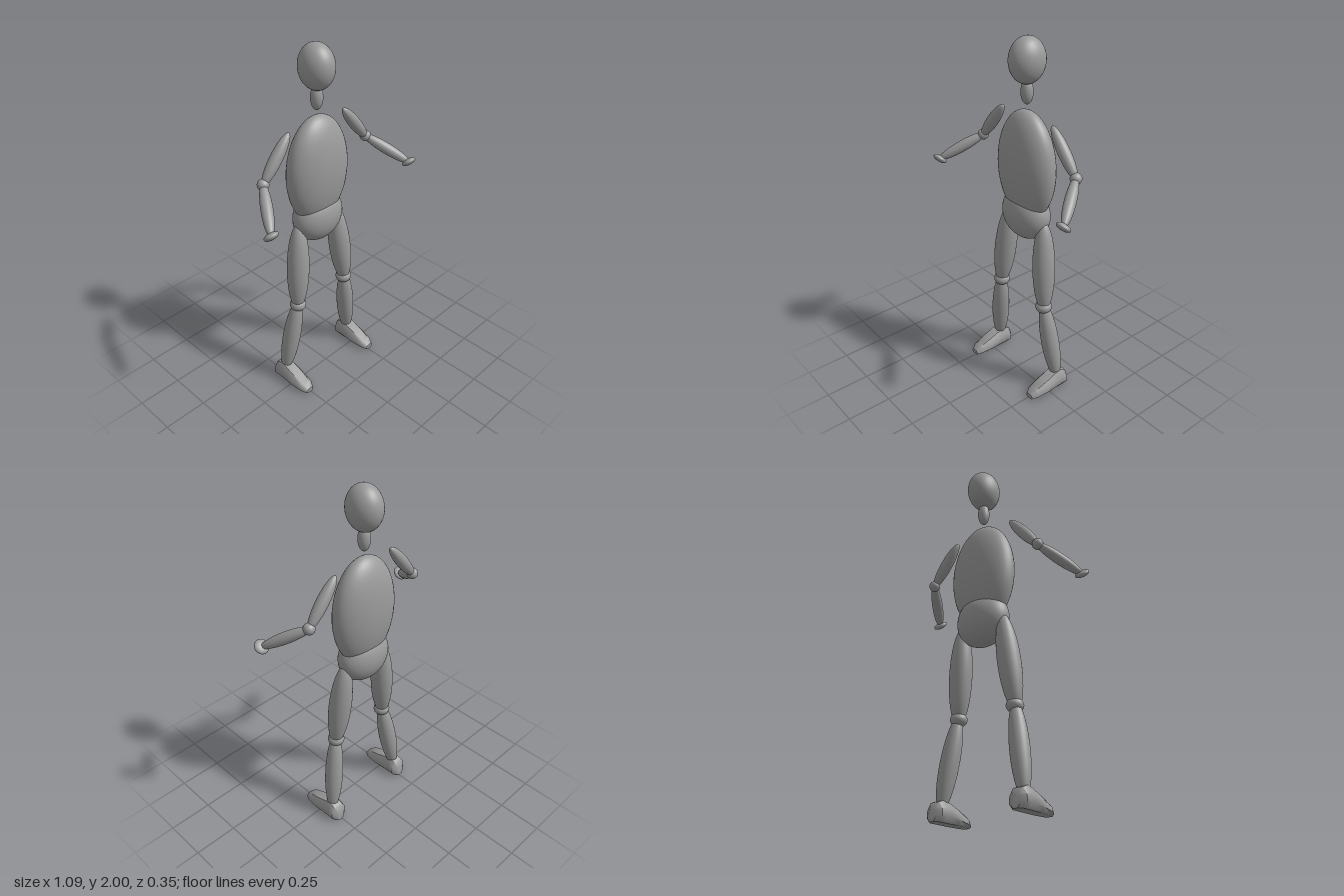
import * as THREE from 'three';
import { toCreasedNormals } from 'three/addons/utils/BufferGeometryUtils.js';

const CORE_Z = -0.063; // depth of the body's central axis

export function createModel() {
  const model = new THREE.Group();
  model.name = 'mannequin';
  const grey = new THREE.MeshStandardMaterial({ color: 0x9a9a9a });
  grey.name = 'grey';
  const ball = new THREE.SphereGeometry(1, 40, 28);

  function ellipsoid(name, position, radii) {
    const mesh = new THREE.Mesh(ball, grey);
    mesh.name = name;
    mesh.position.set(...position);
    mesh.scale.set(...radii);
    model.add(mesh);
    return mesh;
  }

  // Long ellipsoid whose tips lie on two points
  function limb(name, from, to, radius) {
    const a = new THREE.Vector3(...from), b = new THREE.Vector3(...to);
    const axis = b.clone().sub(a);
    const middle = a.clone().add(b).multiplyScalar(0.5);
    const mesh = ellipsoid(name, middle.toArray(), [radius, axis.length() / 2, radius]);
    mesh.quaternion.setFromUnitVectors(new THREE.Vector3(0, 1, 0), axis.normalize());
  }

  // Head, neck and trunk
  ellipsoid('head', [0, 1.88, CORE_Z], [0.087, 0.12, 0.101]);
  ellipsoid('neck', [0, 1.72, CORE_Z], [0.033, 0.066, 0.033]);
  ellipsoid('torso', [0, 1.315, CORE_Z], [0.2, 0.31, 0.109]);
  ellipsoid('pelvis', [0, 1.04, CORE_Z], [0.159, 0.147, 0.107]);

  const footGeometry = makeFoot();
  for (const side of [1, -1]) {
    const label = side > 0 ? 'left' : 'right';

    // Arm, with a disc-shaped hand
    limb(label + 'UpperArm', [side * 0.19, 1.597, -0.063], [side * 0.375, 1.37, -0.063], 0.033);
    ellipsoid(label + 'Elbow', [side * 0.37, 1.378, -0.063], [0.031, 0.031, 0.031]);
    limb(label + 'Forearm', [side * 0.362, 1.385, -0.075], [side * 0.512, 1.235, 0.147], 0.031);
    const hand = ellipsoid(label + 'Hand', [side * 0.507, 1.24, 0.141], [0.04, 0.018, 0.04]);
    hand.rotation.x = -0.72;

    // Leg and foot
    limb(label + 'Thigh', [side * 0.137, 1.035, -0.068], [side * 0.19, 0.5, -0.035], 0.062);
    ellipsoid(label + 'Knee', [side * 0.185, 0.53, -0.037], [0.046, 0.038, 0.046]);
    limb(label + 'Shin', [side * 0.185, 0.555, -0.035], [side * 0.263, 0.05, -0.077], 0.051);
    const foot = new THREE.Mesh(footGeometry, grey);
    foot.name = label + 'Foot';
    foot.position.x = side * 0.258;
    model.add(foot);
  }
  return model;
}

// Foot lofted from eight-cornered sections, heel to toe
function makeFoot() {
  const sections = [ // z, half width, height
    [-0.143, 0.025, 0.06],
    [-0.12, 0.053, 0.098],
    [-0.085, 0.053, 0.112],
    [-0.05, 0.053, 0.105],
    [0.02, 0.053, 0.08],
    [0.095, 0.042, 0.054],
    [0.125, 0.026, 0.028],
  ];
  const outline = [[0.6, 0], [1, 0.28], [0.95, 0.65], [0.55, 1], [-0.55, 1], [-0.95, 0.65], [-1, 0.28], [-0.6, 0]];
  const n = outline.length, positions = [], index = [];
  for (const [z, w, h] of sections) {
    for (const [u, v] of outline) positions.push(u * w, v * h, z);
  }
  const last = (sections.length - 1) * n;
  for (let i = 0; i < last; i += n) {
    for (let j = 0; j < n; j++) {
      const k = (j + 1) % n;
      index.push(i + j, i + k, i + n + k, i + j, i + n + k, i + n + j);
    }
  }
  for (let j = 1; j < n - 1; j++) {
    index.push(0, j + 1, j, last, last + j, last + j + 1);
  }
  const geometry = new THREE.BufferGeometry();
  geometry.setAttribute('position', new THREE.Float32BufferAttribute(positions, 3));
  geometry.setIndex(index);
  return toCreasedNormals(geometry, 0.85);
}
